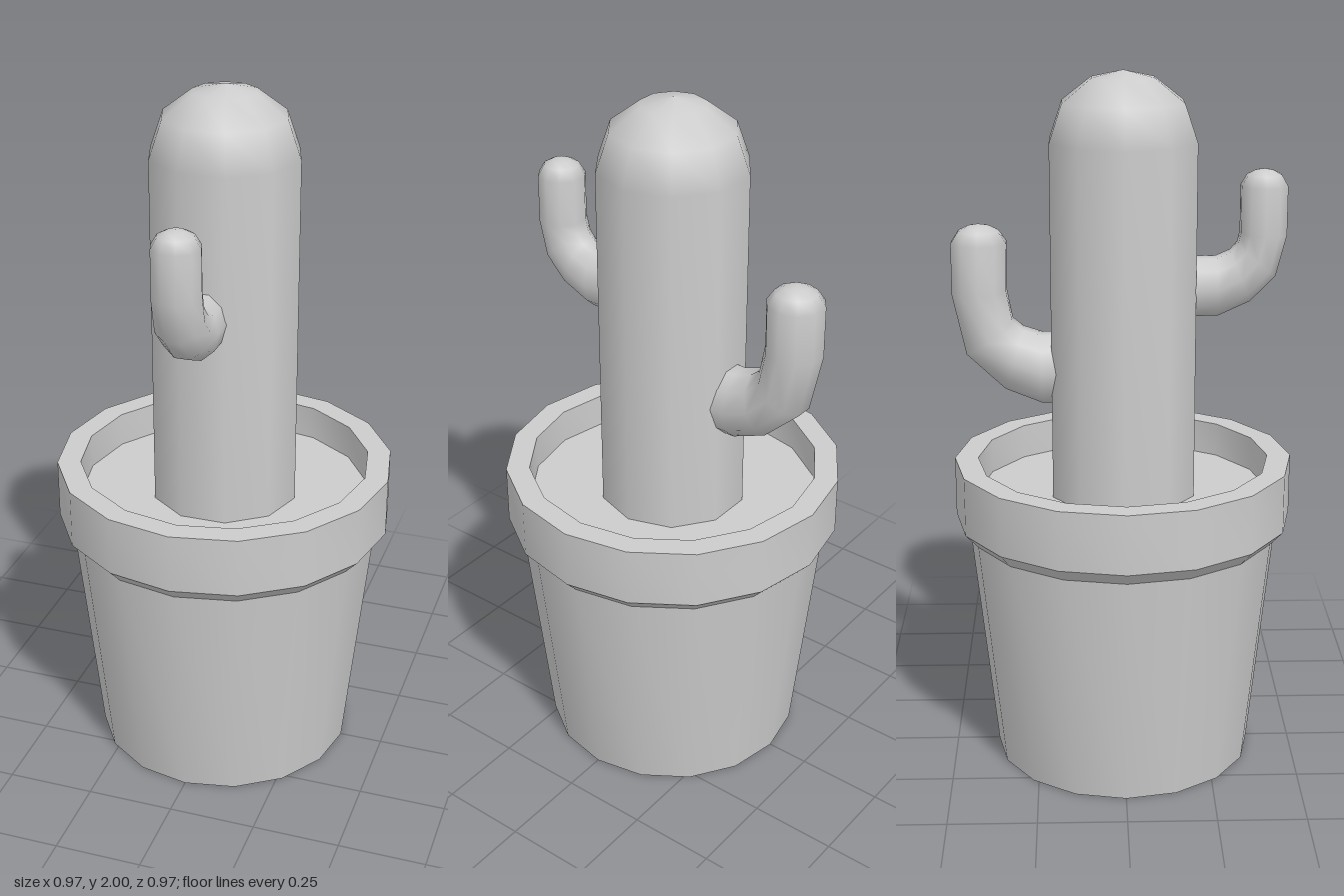
import * as THREE from 'three';
import { toCreasedNormals } from 'three/addons/utils/BufferGeometryUtils.js';

const material = new THREE.MeshStandardMaterial({ color: 0xcccccc });

function addPart(group, name, geometry) {
  const mesh = new THREE.Mesh(geometry, material);
  mesh.name = name;
  group.add(mesh);
  return mesh;
}

const profile = (points) => points.map(([r, y]) => new THREE.Vector2(r, y));

// Bent arm skinned over elliptical rings.
// Each ring: [outer z, outer y, inner z, inner y, half width in x]
function armGeometry(rings, tipY, side) {
  const n = 10;
  const grow = 1 / Math.sin(Math.PI * 0.4); // so the facets reach the full depth
  const positions = [];
  const index = [];
  for (const [oz, oy, iz, iy, w] of rings) {
    for (let i = 0; i < n; i++) {
      const a = (i / n) * Math.PI * 2;
      const s = 0.5 * grow * Math.sin(a);
      positions.push(-side * w * Math.cos(a), (oy + iy) / 2 + (oy - iy) * s, side * ((oz + iz) / 2 + (oz - iz) * s));
    }
  }
  for (let k = 0; k < rings.length - 1; k++) {
    for (let i = 0; i < n; i++) {
      const a = k * n + i;
      const b = k * n + ((i + 1) % n);
      index.push(a, b, a + n, b, b + n, a + n);
    }
  }
  // Rounded tip closes on a single vertex
  const last = (rings.length - 1) * n;
  const end = rings[rings.length - 1];
  positions.push(0, tipY, side * (end[0] + end[2]) / 2);
  for (let i = 0; i < n; i++) index.push(last + i, last + ((i + 1) % n), last + n);

  const geometry = new THREE.BufferGeometry();
  geometry.setAttribute('position', new THREE.Float32BufferAttribute(positions, 3));
  geometry.setIndex(index);
  geometry.computeVertexNormals();
  return geometry;
}

export function createModel() {
  const model = new THREE.Group();
  model.name = 'pottedCactus';

  // Tapered pot with a heavy rim and a straight inner wall
  const pot = new THREE.LatheGeometry(profile([
    [0, 0], [0.375, 0], [0.447, 0.69], [0.484, 0.73], [0.484, 0.9], [0.417, 0.9], [0.417, 0.8],
  ]), 16);
  addPart(model, 'pot', toCreasedNormals(pot, 0.6));

  // Soil disc
  const soil = addPart(model, 'soil', new THREE.CircleGeometry(0.417, 16));
  soil.rotation.x = -Math.PI / 2;
  soil.position.y = 0.8;

  // Main stem with a domed top
  const stem = addPart(model, 'stem', new THREE.LatheGeometry(profile([
    [0.212, 0.79], [0.212, 1.81], [0.175, 1.915], [0.09, 1.98], [0, 2],
  ]), 10));
  stem.rotation.y = Math.PI / 2;

  // Small upper arm at the front
  addPart(model, 'frontArm', armGeometry([
    [0.12, 1.32, 0.12, 1.485, 0.07],
    [0.265, 1.322, 0.26, 1.485, 0.07],
    [0.355, 1.363, 0.3, 1.503, 0.07],
    [0.425, 1.435, 0.319, 1.525, 0.07],
    [0.454, 1.55, 0.326, 1.555, 0.069],
    [0.454, 1.685, 0.326, 1.685, 0.068],
    [0.437, 1.715, 0.343, 1.715, 0.05],
    [0.415, 1.727, 0.365, 1.727, 0.026],
  ], 1.732, 1));

  // Larger lower arm at the back
  addPart(model, 'backArm', armGeometry([
    [0.1, 1.07, 0.1, 1.268, 0.083],
    [0.23, 1.072, 0.228, 1.268, 0.083],
    [0.333, 1.114, 0.28, 1.285, 0.083],
    [0.44, 1.215, 0.31, 1.31, 0.083],
    [0.477, 1.385, 0.326, 1.395, 0.082],
    [0.477, 1.53, 0.324, 1.53, 0.08],
    [0.456, 1.562, 0.345, 1.562, 0.058],
    [0.43, 1.576, 0.371, 1.576, 0.03],
  ], 1.582, -1));

  return model;
}
